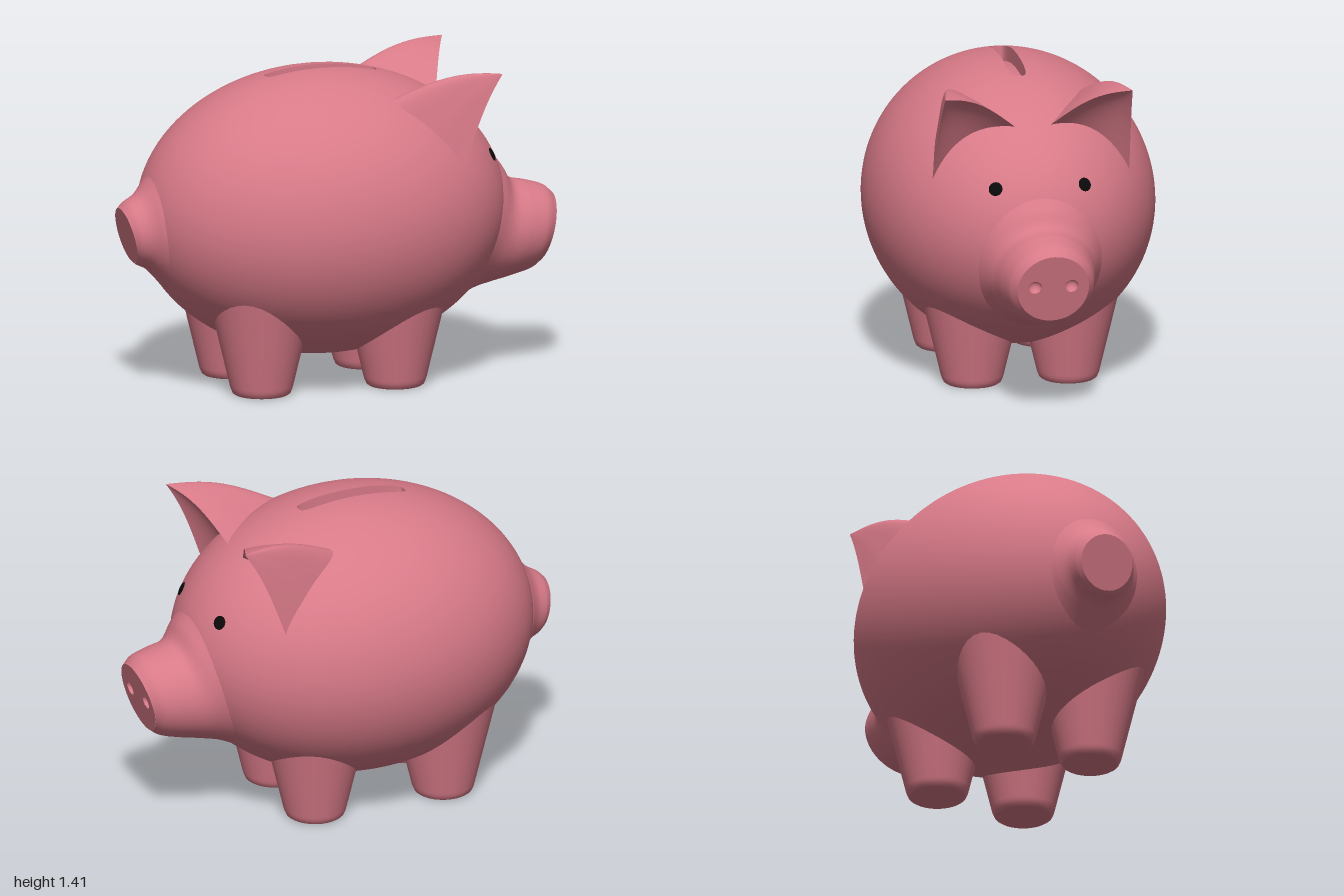
import * as THREE from 'three';
import { ParametricGeometry } from 'three/addons/geometries/ParametricGeometry.js';

const V = (x, y, z = 0) => new THREE.Vector3(x, y, z);
const pink = new THREE.MeshStandardMaterial({ color: 0xd87a88 });
const pinkInside = new THREE.MeshStandardMaterial({ color: 0xd87a88, side: THREE.DoubleSide });
const black = new THREE.MeshStandardMaterial({ color: 0x0a0a0a });

// Body ellipsoid
const C = V(-0.07, 0.77, 0), R = V(0.83, 0.64, 0.64);
const bodyTop = (x, z) => C.y + R.y * Math.sqrt(Math.max(0, 1 - (x / R.x) ** 2 - (z / R.z) ** 2));
const bodyNormal = (p) => p.clone().sub(C).divide(R).divide(R).normalize();

// Rounded outline of the coin slot, relative to the body centre
const bend = (v) => Math.sign(v) * Math.abs(v) ** 0.4;
const slotPoint = (a) => [0.255 * bend(Math.cos(a)), 0.04 * bend(Math.sin(a))];
const SLOT_DEPTH = 0.07;

function add(parent, name, geometry, material = pink) {
  const mesh = new THREE.Mesh(geometry, material);
  mesh.name = name;
  parent.add(mesh);
  return mesh;
}

// The upper half spreads from the slot rim to the equator, the lower half closes to a pole
function bodyGeometry() {
  const geo = new ParametricGeometry((u, v, out) => {
    const a = u * Math.PI * 2, phi = v * Math.PI, f = Math.sin(phi);
    let x = R.x * Math.cos(a) * f, z = R.z * Math.sin(a) * f;
    if (v < 0.5) {
      const [sx, sz] = slotPoint(a);
      x += sx * (1 - f);
      z += sz * (1 - f);
      out.set(C.x + x, bodyTop(x, z), z);
    } else out.set(C.x + x, C.y + R.y * Math.cos(phi), z);
  }, 96, 64);
  const pos = geo.attributes.position, p = V(0, 0);
  for (let i = 0; i < pos.count; i++) {
    const n = bodyNormal(p.fromBufferAttribute(pos, i));
    geo.attributes.normal.setXYZ(i, n.x, n.y, n.z);
  }
  return geo;
}

function slotWall(u, v, out) {
  const [x, z] = slotPoint(-u * Math.PI * 2);
  out.set(C.x + x, bodyTop(x, z) - v * SLOT_DEPTH, z);
}

function slotFloor(u, v, out) {
  let [x, z] = slotPoint(-u * Math.PI * 2);
  x *= 1 - v;
  z *= 1 - v;
  out.set(C.x + x, bodyTop(x, z) - SLOT_DEPTH, z);
}

// Loft through rings given as [topX, topY, bottomX, bottomY, halfWidth]
function loft(rings, side) {
  const top = new THREE.CatmullRomCurve3(rings.map((r) => V(r[0], r[1])));
  const bottom = new THREE.CatmullRomCurve3(rings.map((r) => V(r[2], r[3])));
  const width = new THREE.CatmullRomCurve3(rings.map((r, i) => V(i * 0.1, r[4])));
  return new ParametricGeometry((u, v, out) => {
    const a = u * Math.PI * 2, t = top.getPoint(v), b = bottom.getPoint(v);
    out.copy(t).add(b).multiplyScalar(0.5).addScaledVector(t.sub(b), Math.cos(a) / 2);
    out.z = -side * width.getPoint(v).y * Math.sin(a);
  }, 48, 30);
}

// Ear: rounded back and dished front, both running from the head to the tip
function makeEar(side) {
  const ear = new THREE.Group();
  ear.name = side > 0 ? 'rightEar' : 'leftEar';
  const inner = V(0.5, 1.25, 0.1), outer = V(0.46, 1.03, 0.44), rear = V(0.19, 1.31, 0.32);
  const tip = V(0.635, 1.41, 0.42);
  const mid = (a, b, k = 0.5) => a.clone().lerp(b, k);
  const back = new THREE.CatmullRomCurve3([
    inner, mid(inner, rear).add(V(0, 0.02, 0)), rear, mid(rear, outer).add(V(0, 0, 0.02)), outer]);
  const front = new THREE.QuadraticBezierCurve3(outer, mid(mid(inner, outer), rear, 0.35), inner);
  for (const [name, curve] of [['earBack', back], ['earFront', front]]) {
    const geo = new ParametricGeometry((u, v, out) => {
      const t = -0.12 + 1.12 * v;
      out.copy(curve.getPoint(side > 0 ? u : 1 - u)).lerp(tip, t);
      out.y += 0.035 * Math.sin(Math.PI * t);
      out.z *= side;
    }, 28, 20);
    geo.computeVertexNormals();
    add(ear, name, geo);
  }
  return ear;
}

function makeSnout() {
  const snout = new THREE.Group();
  snout.name = 'snout';
  add(snout, 'snoutSide', loft([
    [1.0, 0.77, 0.92, 0.46, 0.16], [0.96, 0.803, 0.885, 0.435, 0.188],
    [0.88, 0.828, 0.8, 0.41, 0.21], [0.8, 0.85, 0.7, 0.388, 0.228],
    [0.755, 0.92, 0.6, 0.362, 0.265], [0.69, 1.0, 0.45, 0.29, 0.34]], 1));

  // Flat disc with two nostril cups
  const disc = new THREE.Group();
  disc.name = 'snoutFace';
  disc.position.set(0.96, 0.615, 0);
  disc.rotation.set(0, Math.PI / 2, -0.25, 'ZYX');
  const shape = new THREE.Shape().absarc(0, 0, 0.16, 0, Math.PI * 2);
  for (const s of [-1, 1]) {
    shape.holes.push(new THREE.Path().absarc(s * 0.082, 0.01, 0.03, 0, Math.PI * 2, true));
    const cup = new THREE.SphereGeometry(0.03, 24, 10, 0, Math.PI * 2, Math.PI / 2, Math.PI / 2);
    cup.rotateX(Math.PI / 2);
    add(disc, 'nostril', cup, pinkInside).position.set(s * 0.082, 0.01, 0);
  }
  add(disc, 'snoutDisc', new THREE.ShapeGeometry(shape, 24));
  snout.add(disc);
  return snout;
}

function makeTail() {
  const tail = new THREE.Group();
  tail.name = 'tail';
  add(tail, 'tailSide', loft([
    [-1.0, 0.83, -0.94, 0.585, 0.126], [-0.975, 0.855, -0.925, 0.573, 0.143],
    [-0.92, 0.89, -0.885, 0.553, 0.165], [-0.88, 0.935, -0.85, 0.52, 0.2],
    [-0.83, 1.01, -0.78, 0.44, 0.26]], -1));
  const end = add(tail, 'tailEnd', new THREE.CircleGeometry(0.126, 48));
  end.position.set(-0.97, 0.7075, 0);
  end.rotation.set(0, -Math.PI / 2, 0.24, 'ZYX');
  return tail;
}

export function createModel() {
  const pig = new THREE.Group();
  pig.name = 'piggyBank';

  add(pig, 'body', bodyGeometry());
  add(pig, 'coinSlotWall', new ParametricGeometry(slotWall, 96, 2));
  add(pig, 'coinSlotFloor', new ParametricGeometry(slotFloor, 96, 6)).geometry.computeVertexNormals();
  pig.add(makeSnout(), makeTail());

  // Tapered legs with a softened foot edge
  const legProfile = [[0, 0], [0.11, 0], [0.118, 0.001], [0.128, 0.008], [0.136, 0.026],
    [0.14, 0.04], [0.25, 0.5]].map(([r, y]) => new THREE.Vector2(r, y));
  const legGeometry = new THREE.LatheGeometry(legProfile, 40);
  const eyeGeometry = new THREE.SphereGeometry(0.031, 24, 12);

  for (const side of [-1, 1]) {
    add(pig, 'backLeg', legGeometry).position.set(-0.415, 0, side * 0.215);
    add(pig, 'frontLeg', legGeometry).position.set(0.205, 0, side * 0.215);
    pig.add(makeEar(side));

    // Flat eye lying on the surface of the head
    const eye = add(pig, 'eye', eyeGeometry, black);
    eye.position.set(0.66, 1.0, side * 0.2);
    eye.quaternion.setFromUnitVectors(V(0, 0, 1), bodyNormal(eye.position));
    eye.scale.z = 0.25;
  }
  return pig;
}
